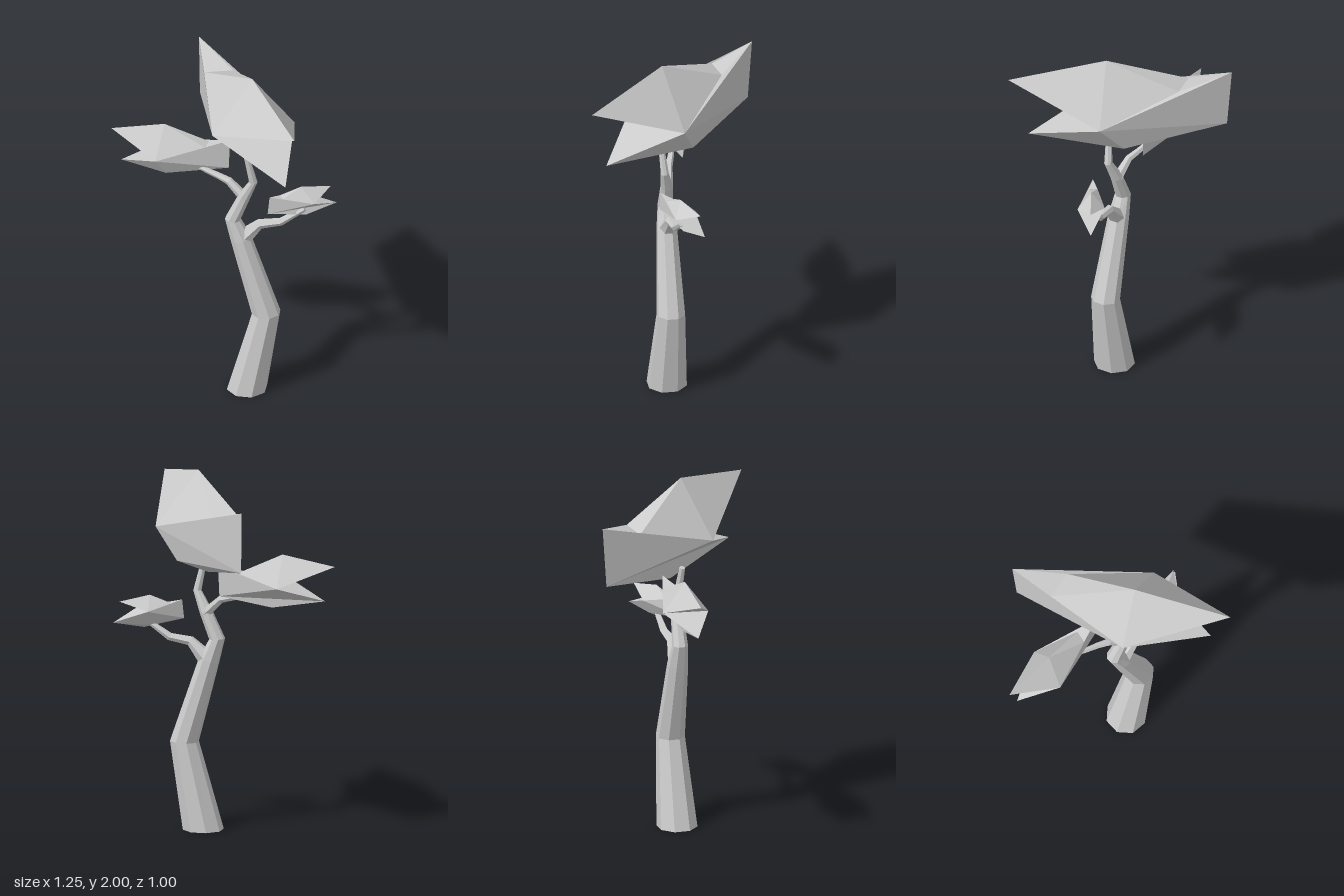
import * as THREE from 'three';

const material = new THREE.MeshStandardMaterial({ color: 0xcccccc, flatShading: true });

function facetedMesh(name, points, faces) {
  const geometry = new THREE.BufferGeometry();
  geometry.setAttribute('position', new THREE.Float32BufferAttribute(points.flat(), 3));
  geometry.setIndex(faces.flat());
  const flat = geometry.toNonIndexed();
  flat.computeVertexNormals();
  const mesh = new THREE.Mesh(flat, material);
  mesh.name = name;
  return mesh;
}

// Tapered limb: rings of points along a path of [x, y, z, radius]
function limb(name, path, sides) {
  const centres = path.map(([x, y, z]) => new THREE.Vector3(x, y, z));
  const front = new THREE.Vector3(0, 0, 1);
  const last = path.length - 1;
  const points = [], faces = [];
  centres.forEach((centre, i) => {
    const before = centres[Math.max(i - 1, 0)], after = centres[Math.min(i + 1, last)];
    const along = after.clone().sub(before).normalize();
    if (centre.y === 0) along.set(0, 1, 0); // flat on the ground
    const u = along.clone().cross(front).normalize();
    const v = u.clone().cross(along);
    for (let j = 0; j < sides; j++) {
      const a = ((j + 0.5) / sides) * Math.PI * 2;
      const r = path[i][3];
      points.push(centre.clone().addScaledVector(u, r * Math.cos(a)).addScaledVector(v, r * Math.sin(a)).toArray());
    }
  });
  for (let i = 0; i < last; i++) {
    for (let j = 0; j < sides; j++) {
      const a = i * sides + j, b = i * sides + ((j + 1) % sides);
      faces.push([a, a + sides, b], [b, a + sides, b + sides]);
    }
  }
  // End caps
  const top = last * sides;
  for (let j = 1; j < sides - 1; j++) faces.push([0, j, j + 1], [top, top + j + 1, top + j]);
  return facetedMesh(name, points, faces);
}

// Foliage clump: a forked crystal. Corner order: 0 crown, 1 upper tip, 2 lower tip,
// 3 and 4 waist sides, 5 and 6 blunt end, 7 and 8 saddle, 9 bottom, 10 lower side
const clumpFaces = [
  [0, 3, 1], [0, 1, 4], [0, 7, 3], [0, 8, 7], [0, 4, 8],
  [7, 8, 5], [8, 4, 5], [3, 7, 5], [3, 5, 6], [5, 4, 6],
  [1, 3, 4], [4, 3, 2], [2, 3, 6],
  [4, 2, 10], [6, 4, 10], [9, 10, 2], [9, 6, 10], [9, 2, 6],
];

export function createModel() {
  const tree = new THREE.Group();
  tree.name = 'tree';

  // Trunk continuing into the main branch
  tree.add(limb('trunk', [
    [0.145, 0, 0.028, 0.113], [0.25, 0.49, 0.022, 0.08], [0.11, 0.95, 0.022, 0.058],
    [0.065, 1.07, 0.022, 0.044], [0.13, 1.22, 0.025, 0.035],
    [0.183, 1.33, 0.045, 0.023], [0.15, 1.49, 0.06, 0.016],
  ], 8));

  // Side branches
  tree.add(limb('rightBranch', [
    [0.13, 1.21, 0.02, 0.03], [0.04, 1.295, 0, 0.022], [-0.02, 1.31, -0.02, 0.018], [-0.14, 1.34, -0.05, 0.013],
  ], 6));
  tree.add(limb('leftBranch', [
    [0.12, 0.95, 0.02, 0.05], [0.215, 1.05, 0.02, 0.028], [0.33, 1.07, 0.01, 0.022], [0.46, 1.16, 0, 0.014],
  ], 6));

  // Foliage clumps
  tree.add(facetedMesh('topFoliage', [
    [0.18, 2.0, 0.06], [0.49, 1.9, 0.5], [0.425, 1.54, 0.41],
    [-0.02, 1.69, 0.185], [0.4, 1.69, -0.03],
    [-0.215, 1.89, -0.505], [-0.205, 1.55, -0.48],
    [-0.145, 1.81, -0.27], [0.01, 1.82, -0.3],
    [0.11, 1.45, -0.02], [0.26, 1.52, -0.1],
  ], clumpFaces));
  tree.add(facetedMesh('rightFoliage', [
    [-0.33, 1.58, -0.07], [-0.625, 1.525, -0.065], [-0.57, 1.33, -0.065],
    [-0.33, 1.41, -0.195], [-0.36, 1.41, 0.055],
    [0.03, 1.5, -0.09], [0.025, 1.33, -0.08],
    [-0.09, 1.47, -0.11], [-0.1, 1.47, -0.04],
    [-0.27, 1.28, -0.07], [-0.31, 1.31, 0],
  ], clumpFaces));
  tree.add(facetedMesh('leftFoliage', [
    [0.44, 1.3, 0], [0.59, 1.27, -0.085], [0.62, 1.155, -0.105],
    [0.52, 1.22, 0.04], [0.43, 1.22, -0.08],
    [0.28, 1.265, 0.085], [0.27, 1.16, 0.09],
    [0.35, 1.25, 0.065], [0.33, 1.25, 0.025],
    [0.47, 1.12, -0.01], [0.45, 1.14, -0.04],
  ], clumpFaces));

  return tree;
}
